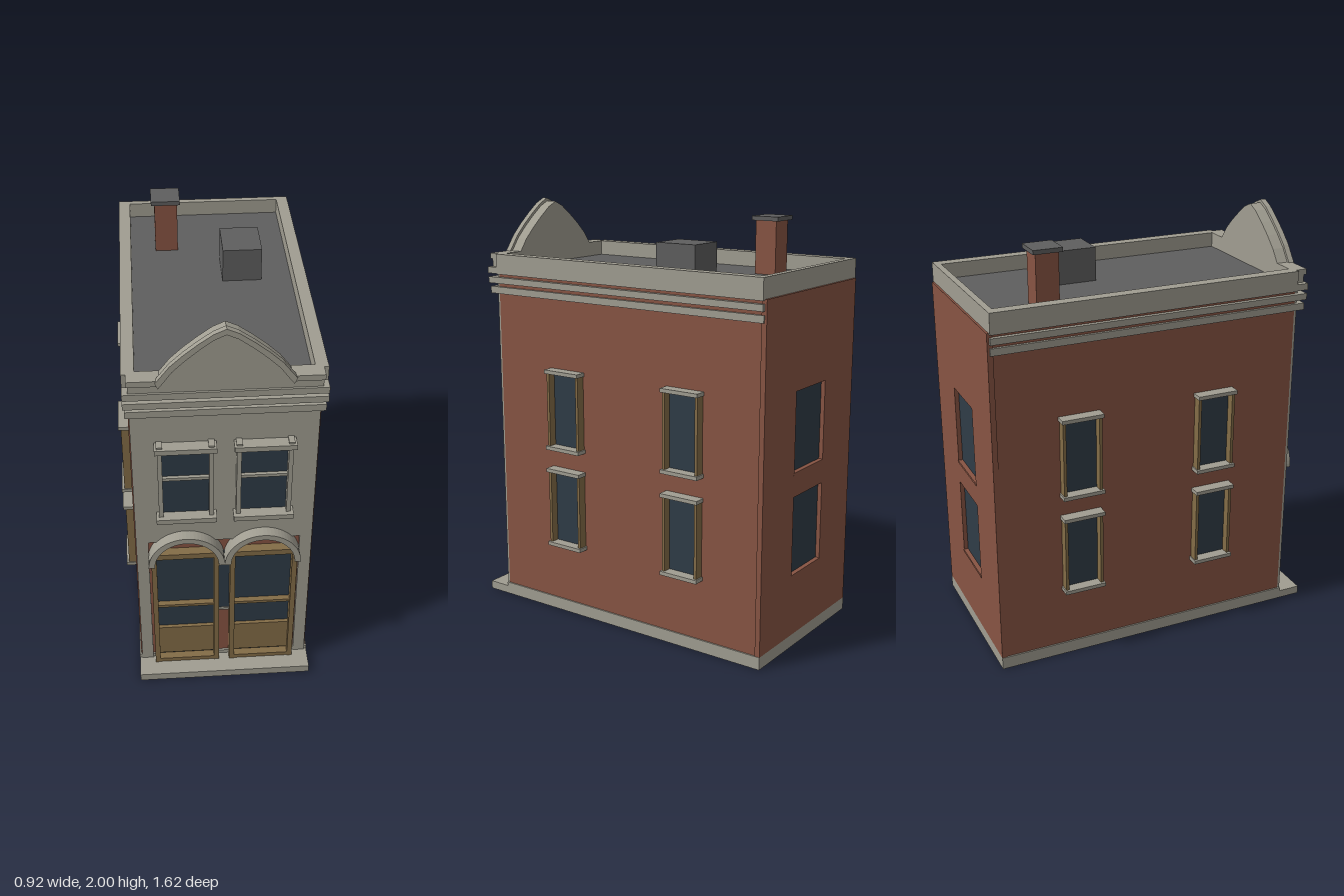
import * as THREE from 'three';

const mat = (name, color) => new THREE.MeshStandardMaterial({ name, color });

export function createModel() {
  const stone = mat('stone', 0xa09d91), brick = mat('brick', 0x875443), wood = mat('wood', 0x836c47);
  const glass = mat('glass', 0x2f3c47), slate = mat('slate', 0x5e5e5e);
  const model = new THREE.Group();
  model.name = 'townhouse';

  // Box given by its lower and upper limits on each axis
  const box = (name, m, x0, x1, y0, y1, z0, z1, parent = model) => {
    const mesh = new THREE.Mesh(new THREE.BoxGeometry(x1 - x0, y1 - y0, z1 - z0), m);
    mesh.position.set((x0 + x1) / 2, (y0 + y1) / 2, (z0 + z1) / 2);
    mesh.name = name;
    parent.add(mesh);
    return mesh;
  };
  const extrude = (name, m, shape, z0, z1, parent = model) => {
    const mesh = new THREE.Mesh(
      new THREE.ExtrudeGeometry(shape, { depth: z1 - z0, bevelEnabled: false, curveSegments: 16 }), m);
    mesh.position.z = z0;
    mesh.name = name;
    parent.add(mesh);
    return mesh;
  };
  const rect = (x0, x1, y0, y1, Type = THREE.Shape) =>
    new Type([[x0, y0], [x1, y0], [x1, y1], [x0, y1]].map(p => new THREE.Vector2(...p)));
  const group = name => {
    const g = new THREE.Group();
    g.name = name;
    model.add(g);
    return g;
  };

  // Base, front step and brick body
  box('base', stone, -0.412, 0.412, 0, 0.06, -0.81, 0.7);
  box('frontStep', stone, -0.412, 0.412, 0, 0.04, 0.7, 0.812);
  box('body', brick, -0.405, 0.405, 0.06, 1.66, -0.785, 0.69);

  // Back wall with two recessed windows
  const back = rect(-0.41, 0.41, 0.06, 1.665);
  for (const y of [0.36, 0.85]) {
    back.holes.push(rect(-0.135, 0.135, y, y + 0.375, THREE.Path));
    box('backGlass', glass, -0.135, 0.135, y, y + 0.375, -0.79, -0.784);
    box('backSill', brick, -0.14, 0.14, y - 0.012, y, -0.812, -0.785);
  }
  extrude('backWall', brick, back, -0.81, -0.785);

  // Stone facade around the shopfront opening
  const facade = new THREE.Shape([[-0.4, 0.04], [-0.345, 0.04], [-0.345, 0.825], [0.345, 0.825],
    [0.345, 0.04], [0.4, 0.04], [0.4, 1.66], [-0.4, 1.66]].map(p => new THREE.Vector2(...p)));
  extrude('facade', stone, facade, 0.69, 0.705);

  // Shopfront bays, each with an arch above
  for (const s of [-1, 1]) {
    const bay = group('shopBay');
    bay.position.x = s * 0.18;
    for (const e of [-1, 1]) {
      const x = e * 0.143;
      box('bayJamb', wood, x - 0.012, x + 0.012, 0.04, 0.77, 0.69, 0.737, bay);
    }
    box('bayHead', wood, -0.131, 0.131, 0.74, 0.77, 0.69, 0.735, bay);
    box('bayRail', wood, -0.131, 0.131, 0.415, 0.43, 0.69, 0.725, bay);
    box('bayPanel', wood, -0.131, 0.131, 0.083, 0.262, 0.69, 0.715, bay);
    box('bayFoot', wood, -0.131, 0.131, 0.04, 0.062, 0.69, 0.735, bay);
    box('bayGlass', glass, -0.131, 0.131, 0.06, 0.745, 0.69, 0.698, bay);

    const arch = new THREE.Shape();
    arch.moveTo(0.174, 0.715);
    arch.absarc(0, 0.715, 0.174, 0, Math.PI, false);
    arch.lineTo(-0.146, 0.715);
    arch.absarc(0, 0.715, 0.146, Math.PI, 0, true);
    extrude('arch', stone, arch, 0.69, 0.76).position.x = s * 0.174;
  }
  box('middleGlass', glass, -0.025, 0.025, 0.365, 0.745, 0.69, 0.698);
  box('middleSill', stone, -0.025, 0.025, 0.358, 0.37, 0.69, 0.705);

  // Upper front windows
  for (const s of [-1, 1]) {
    const win = group('frontWindow');
    win.position.x = s * 0.17;
    box('frontGlass', glass, -0.102, 0.102, 1.005, 1.385, 0.703, 0.709, win);
    for (const e of [-1, 1]) {
      const x = e * 0.111;
      box('frontJamb', stone, x - 0.01, x + 0.01, 1.005, 1.385, 0.7, 0.74, win);
      for (const y of [0.982, 1.405])
        box('endBlock', stone, x - 0.013, x + 0.013, y, y + 0.01, 0.7, 0.75, win);
    }
    box('meetingRail', stone, -0.102, 0.102, 1.207, 1.222, 0.7, 0.725, win);
    box('frontLintel', stone, -0.133, 0.133, 1.382, 1.407, 0.7, 0.762, win);
    box('frontSill', stone, -0.133, 0.133, 0.987, 1.012, 0.7, 0.762, win);
  }

  // Side windows, two on each floor of both walls
  for (const s of [-1, 1]) for (const z of [0.272, -0.401]) for (const y of [0.355, 0.843]) {
    const win = group('sideWindow');
    const part = (name, m, out, y0, y1, z0, z1) =>
      box(name, m, Math.min(s * 0.4, s * out), Math.max(s * 0.4, s * out), y0, y1, z0, z1, win);
    part('sideGlass', glass, 0.409, y, y + 0.385, z - 0.085, z + 0.085);
    for (const e of [-1, 1]) {
      const c = z + e * 0.087;
      part('sideJamb', wood, 0.448, y + 0.01, y + 0.375, c - 0.007, c + 0.007);
    }
    part('sideSill', stone, 0.46, y - 0.003, y + 0.015, z - 0.1, z + 0.1);
    part('sideLintel', stone, 0.46, y + 0.372, y + 0.39, z - 0.1, z + 0.1);
  }

  // Cornice bands on the front and sides
  for (const [y0, y1, out, front] of [[1.565, 1.598, 0.418, 0.735], [1.615, 1.645, 0.425, 0.742],
    [1.662, 1.693, 0.425, 0.745]]) {
    box('frontCornice', stone, -out, out, y0, y1, 0.69, front);
    for (const s of [-1, 1])
      box('sideCornice', stone, s < 0 ? -out : 0.4, s < 0 ? -0.4 : out, y0, y1, -0.8, 0.69);
  }

  // Parapet and flat roof
  box('roof', slate, -0.37, 0.37, 1.655, 1.685, -0.77, 0.67);
  for (const s of [-1, 1])
    box('sideParapet', stone, s < 0 ? -0.425 : 0.37, s < 0 ? -0.37 : 0.425, 1.66, 1.757, -0.8, 0.69);
  box('backParapet', stone, -0.37, 0.37, 1.665, 1.757, -0.8, -0.77);
  box('frontParapet', stone, -0.4, 0.4, 1.66, 1.735, 0.67, 0.735);
  for (const s of [-1, 1])
    box('frontCoping', stone, s < 0 ? -0.405 : 0.27, s < 0 ? -0.27 : 0.405, 1.73, 1.757, 0.67, 0.745);

  // Curved gable: panel with a raised rim
  const half = [[0.285, 1.735], [0.262, 1.765], [0.225, 1.815], [0.17, 1.868], [0.11, 1.918], [0.05, 1.962], [0, 1.985]];
  const curve = half.concat(half.slice(0, -1).reverse().map(([x, y]) => [-x, y]))
    .map(p => new THREE.Vector2(...p));
  extrude('gablePanel', stone, new THREE.Shape(curve), 0.67, 0.735);
  const outer = curve.map(p => new THREE.Vector2(p.x * 1.015, p.y + 0.015)).reverse();
  const inner = curve.map(p => new THREE.Vector2(p.x * 0.97, p.y - 0.012));
  extrude('gableRim', stone, new THREE.Shape([...inner, ...outer]), 0.725, 0.752);

  // Rooftop chimney and hatch
  box('chimney', brick, -0.252, -0.145, 1.68, 1.935, -0.528, -0.42);
  box('chimneyCap', slate, -0.268, -0.132, 1.933, 1.953, -0.544, -0.406);
  box('roofHatch', slate, 0.05, 0.23, 1.68, 1.845, -0.332, -0.12);
  return model;
}
